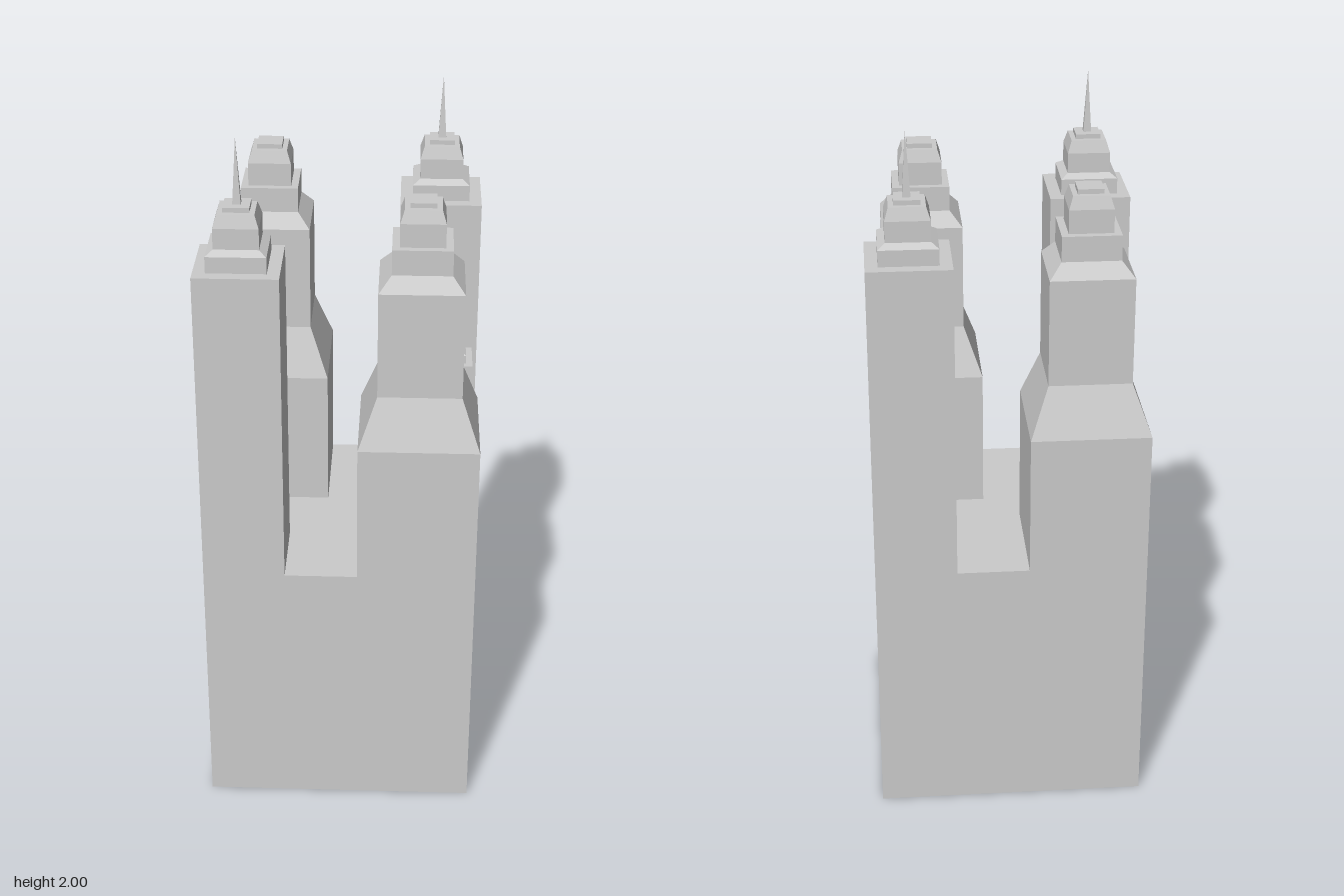
import * as THREE from 'three';

const material = new THREE.MeshStandardMaterial({
  color: 0xcccccc, flatShading: true, side: THREE.DoubleSide,
});

// Square stack lofted through [halfWidth, y] pairs, from bottom to top.
function squareLoft(name, profile) {
  const points = profile.map(([half, y]) => new THREE.Vector2(half * Math.SQRT2, y));
  const mesh = new THREE.Mesh(new THREE.LatheGeometry(points, 4, Math.PI / 4), material);
  mesh.name = name;
  return mesh;
}

// Stepped block, chamfered dome and flat cap; y is measured from the shaft top.
function crown(blockBase, shoulder, blockTop) {
  const group = new THREE.Group();
  group.name = 'crown';
  group.add(
    squareLoft('crownBlock', [[0.08, blockBase], [0.08, shoulder], [0.06, blockTop]]),
    squareLoft('dome', [[0.06, blockTop], [0.06, 0.115], [0.049, 0.15], [0, 0.15]]),
    squareLoft('cap', [[0.035, 0.15], [0.035, 0.163], [0, 0.163]]),
  );
  return group;
}

// Straight shaft with a crown and a needle spire.
function spireTower(name, x, z, half, top, scale) {
  const tower = new THREE.Group();
  tower.name = name;
  const head = crown(0, 0.045, 0.058);
  head.add(squareLoft('spire', [[0.011, 0.163], [0, 0.34]]));
  head.scale.setScalar(scale);
  head.position.y = top;
  tower.add(squareLoft('shaft', [[half, BASE_TOP], [half, top], [0, top]]), head);
  tower.position.set(x, 0, z);
  return tower;
}

// Broad shaft that slopes in twice before its crown.
function taperedTower(name, x, z) {
  const tower = new THREE.Group();
  tower.name = name;
  const head = crown(-0.02, 0.05, 0.05);
  head.position.y = 1.66;
  tower.add(squareLoft('shaft', [
    [0.165, BASE_TOP], [0.165, 1.16], [0.114, 1.30], [0.114, 1.60], [0.08, 1.64],
  ]), head);
  tower.position.set(x, 0, z);
  return tower;
}

const BASE_TOP = 0.76;

export function createModel() {
  const model = new THREE.Group();
  model.name = 'towerBlock';

  // Hollow base, open underneath
  model.add(squareLoft('base', [[0.38, 0], [0.38, BASE_TOP], [0, BASE_TOP]]));

  // Opposite corners carry matching towers
  for (const s of [1, -1]) {
    const side = s > 0 ? 'left' : 'right';
    model.add(taperedTower(`${side}TaperedTower`, s * 0.215, s * 0.215));
    model.add(spireTower(`${side}SpireTower`, s * 0.266, s * -0.266, 0.114, 1.66, 1));
  }

  // Small side turrets
  model.add(spireTower('leftTurret', 0.303, -0.036, 0.061, 1.245, 0.53));
  model.add(spireTower('rightTurret', -0.303, 0.049, 0.061, 1.245, 0.53));

  return model;
}
